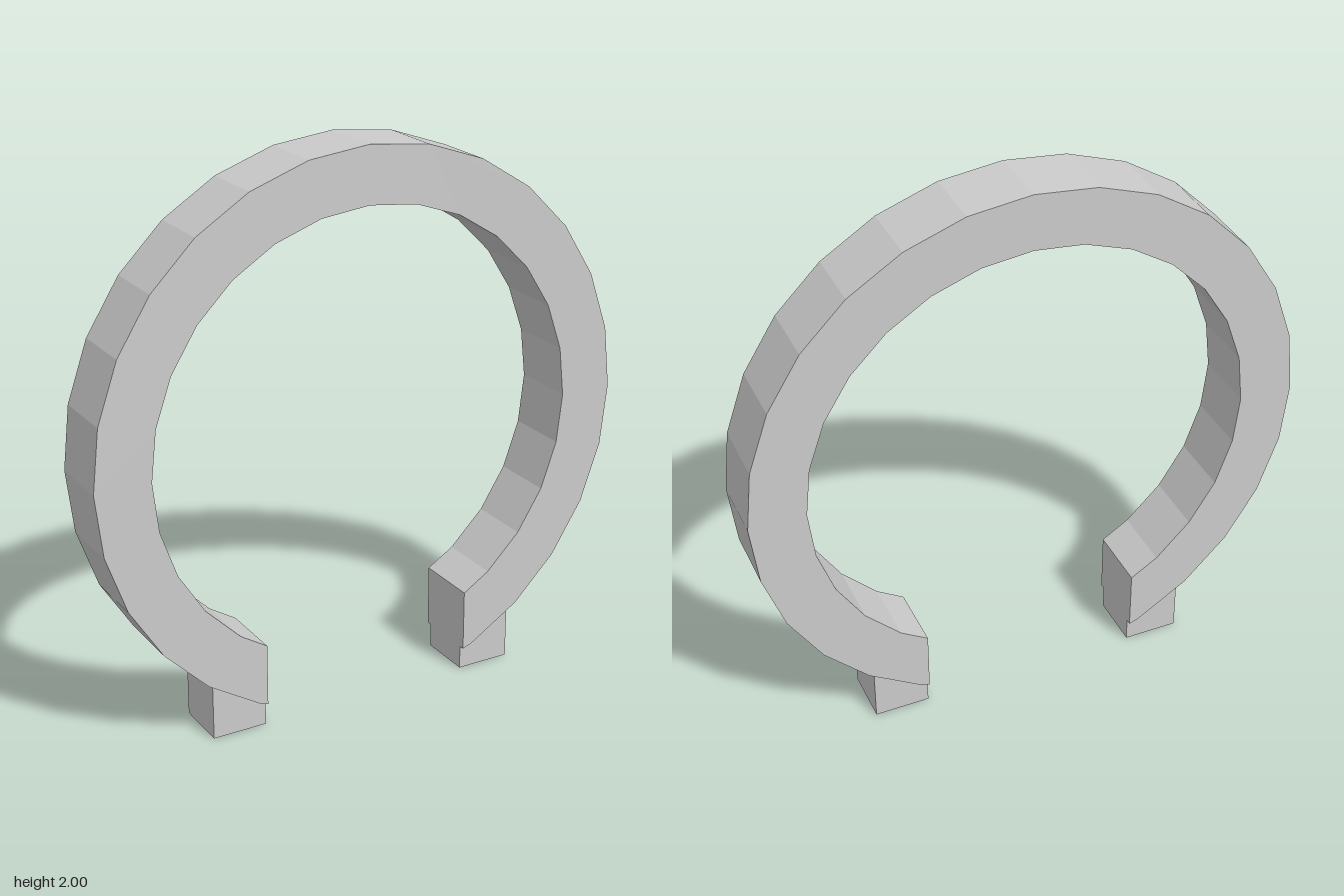
import * as THREE from 'three';

const SIDES = 28, STEP = (2 * Math.PI) / SIDES;
const CENTER_Y = 1, OUTER = 1, INNER = 0.8, DEPTH = 0.24;
const GAP = 0.4; // half width of the opening at the bottom

// Points of a faceted arc, right to left over the top, cut off at x = +-GAP
function arcPoints(radius, last) {
  const at = (i) => new THREE.Vector2(radius * Math.cos(i * STEP), CENTER_Y + radius * Math.sin(i * STEP));
  const a = at(-last), b = at(-last - 1);
  const end = a.clone().lerp(b, (a.x - GAP) / (a.x - b.x));
  const points = [end];
  for (let i = -last; i <= SIDES / 2 + last; i++) points.push(at(i));
  points.push(new THREE.Vector2(-end.x, end.y));
  return points;
}

export function createModel() {
  const model = new THREE.Group();
  model.name = 'openRing';
  const material = new THREE.MeshStandardMaterial({ color: 0xcccccc, flatShading: true });

  // Open ring with vertical cut ends
  const outline = [...arcPoints(OUTER, 5), ...arcPoints(INNER, 4).reverse()];
  const ringGeometry = new THREE.ExtrudeGeometry(new THREE.Shape(outline), { depth: DEPTH, bevelEnabled: false });
  ringGeometry.translate(0, 0, -DEPTH / 2);
  const ring = new THREE.Mesh(ringGeometry, material);
  ring.name = 'ring';
  model.add(ring);

  // Square feet under both ends
  for (const [name, side] of [['leftFoot', 1], ['rightFoot', -1]]) {
    const foot = new THREE.Mesh(new THREE.BoxGeometry(0.2, 0.2, 0.2), material);
    foot.name = name;
    foot.position.set(side * (GAP + 0.1), 0.1, 0);
    model.add(foot);
  }
  return model;
}
